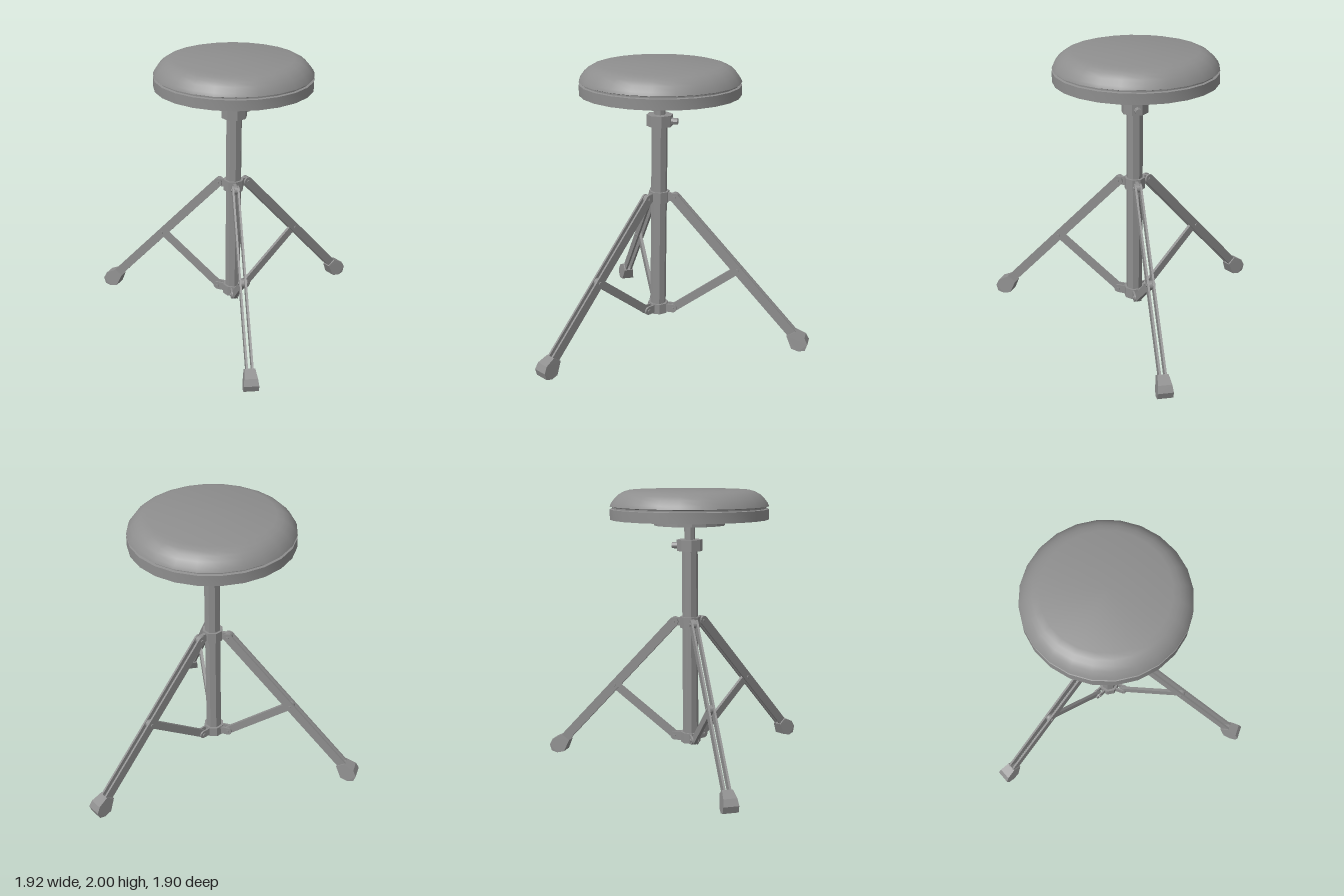
import * as THREE from 'three';
import { toCreasedNormals } from 'three/addons/utils/BufferGeometryUtils.js';

const flat = new THREE.MeshStandardMaterial({ color: 0x8e8e8e, flatShading: true });
const smooth = new THREE.MeshStandardMaterial({ color: 0x8e8e8e });

function add(parent, name, geometry, material = flat) {
  const mesh = new THREE.Mesh(geometry, material);
  mesh.name = name;
  parent.add(mesh);
  return mesh;
}

// Upright faceted cylinder between two heights
function post(parent, name, radius, y0, y1, sides = 8) {
  const g = new THREE.CylinderGeometry(radius, radius, y1 - y0, sides);
  return add(parent, name, g.rotateY(Math.PI / sides).translate(0, (y0 + y1) / 2, 0));
}

// Flat bar with rounded ends, running from a to b in the x-y plane
function bar(parent, name, a, b, width, thick, z = 0) {
  const dx = b[0] - a[0], dy = b[1] - a[1], len = Math.hypot(dx, dy), r = width / 2;
  const s = new THREE.Shape();
  s.absarc(0, 0, r, Math.PI / 2, Math.PI * 1.5);
  s.absarc(len, 0, r, -Math.PI / 2, Math.PI / 2);
  const g = new THREE.ExtrudeGeometry(s, { depth: thick, bevelEnabled: false, curveSegments: 5 });
  g.translate(0, 0, z - thick / 2).rotateZ(Math.atan2(dy, dx)).translate(a[0], a[1], 0);
  return add(parent, name, g);
}

function pin(parent, p, length) {
  const g = new THREE.CylinderGeometry(0.012, 0.012, length, 8);
  add(parent, 'hingePin', g.rotateX(Math.PI / 2).translate(p[0], p[1], 0));
}

// Rubber foot: side outline extruded, then widened towards the floor end
function foot(parent) {
  const outline = [[0.96, 0.1], [1.0, 0.012], [1.052, 0], [1.098, 0.012], [1.113, 0.06], [1.09, 0.105], [1.018, 0.14]];
  const shape = new THREE.Shape(outline.map(([x, y]) => new THREE.Vector2(x, y)));
  const g = new THREE.ExtrudeGeometry(shape, { depth: 1, bevelEnabled: false }).translate(0, 0, -0.5);
  const p = g.attributes.position;
  for (let i = 0; i < p.count; i++) {
    const t = THREE.MathUtils.clamp(((p.getX(i) - 0.985) * 0.69 - (p.getY(i) - 0.12) * 0.72) / 0.13, 0, 1);
    p.setZ(i, p.getZ(i) * (0.07 + 0.035 * t));
  }
  g.computeVertexNormals();
  add(parent, 'foot', g);
}

// One leg with its brace, pointing along +x
function leg() {
  const group = new THREE.Group();
  group.name = 'leg';
  const top = [0.118, 1.055], mid = [0.588, 0.555], low = [0.118, 0.2], end = [1.02, 0.093];
  for (const side of [-1, 1]) {
    bar(group, 'legStrip', top, end, 0.066, 0.014, side * 0.019);
    bar(group, 'lowerLug', [0.05, low[1]], low, 0.06, 0.012, side * 0.02);
  }
  bar(group, 'upperLug', [0.05, top[1]], top, 0.06, 0.022);
  bar(group, 'brace', low, mid, 0.058, 0.022);
  pin(group, top, 0.066);
  pin(group, mid, 0.066);
  pin(group, low, 0.066);
  foot(group);
  return group;
}

export function createModel() {
  const model = new THREE.Group();
  model.name = 'stool';
  const stool = new THREE.Group();
  stool.name = 'stoolBody';
  stool.position.set(0.128, 0, -0.153);
  model.add(stool);

  // Cushion and seat board, with a groove between them
  const profile = [[0, 1.796], [0.562, 1.796], [0.562, 1.868], [0.545, 1.872], [0.545, 1.882], [0.562, 1.888],
    [0.553, 1.91], [0.527, 1.945], [0.5, 1.97], [0.468, 1.988], [0.425, 2], [0, 2]];
  const seatGeometry = new THREE.LatheGeometry(profile.map(([x, y]) => new THREE.Vector2(x, y)), 24);
  const seat = add(stool, 'seat', toCreasedNormals(seatGeometry, 0.6), smooth);
  seat.rotation.y = 0.157;
  seat.position.set(-0.006, 0, -0.004);
  post(stool, 'mountingDisc', 0.253, 1.752, 1.798, 16).rotation.y = 0.144;

  // Column
  post(stool, 'innerRod', 0.039, 1.5, 1.76);
  post(stool, 'column', 0.057, 0.165, 1.6);
  post(stool, 'heightClamp', 0.093, 1.57, 1.65);
  post(stool, 'upperCollar', 0.074, 1.015, 1.095);
  post(stool, 'lowerCollar', 0.074, 0.16, 0.235);

  // Clamp screw at the back left
  const screw = new THREE.CylinderGeometry(0.022, 0.024, 0.056, 8);
  screw.rotateZ(-Math.PI / 2).translate(0.102, 1.607, 0).rotateY(Math.PI / 4);
  add(stool, 'clampScrew', screw);

  // Three legs
  for (const degrees of [44, 164, 284]) {
    const l = leg();
    l.rotation.y = THREE.MathUtils.degToRad(degrees);
    stool.add(l);
  }
  return model;
}
